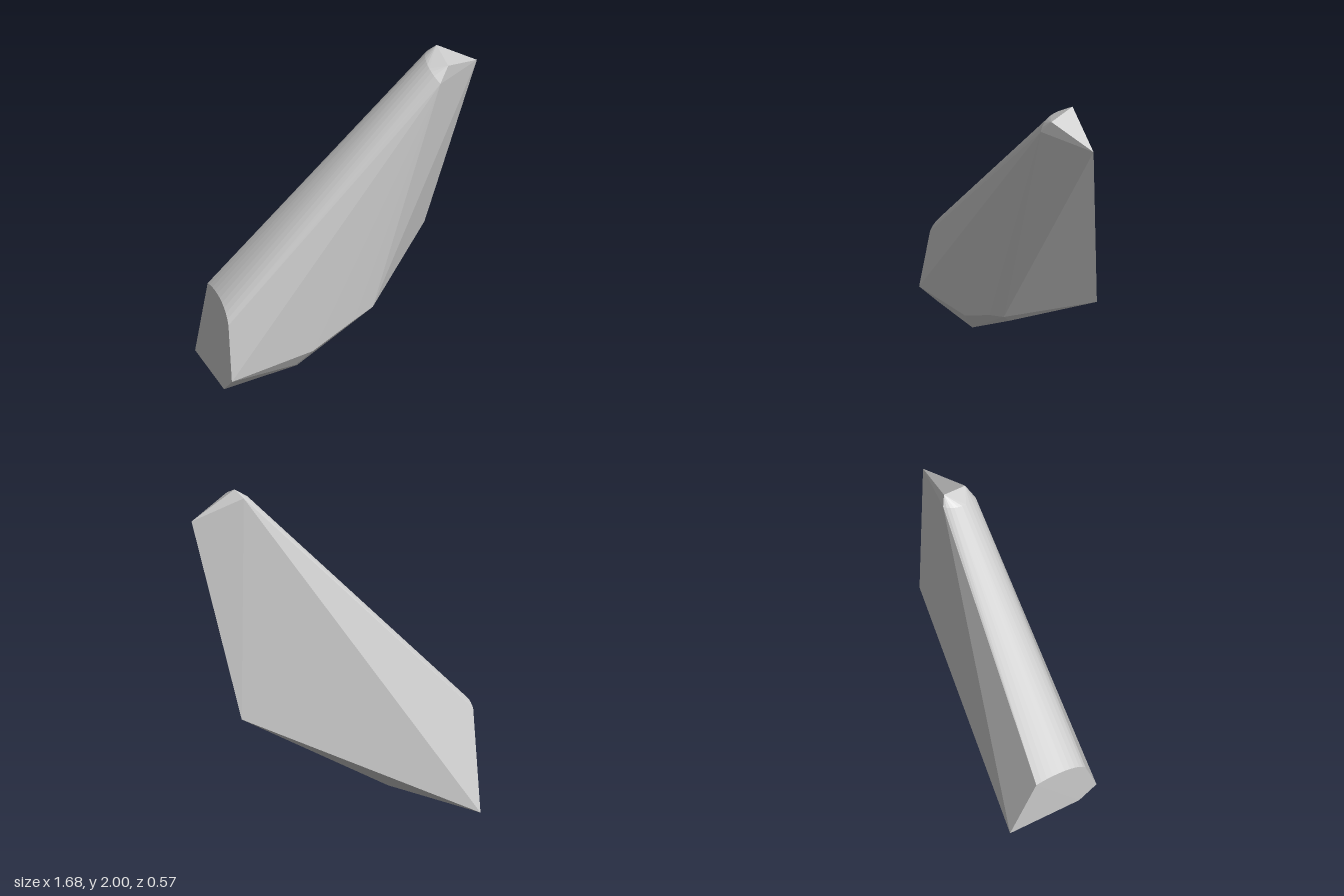
import * as THREE from 'three';
import { ConvexGeometry } from 'three/addons/geometries/ConvexGeometry.js';

const v = (x, y, z) => new THREE.Vector3(x, y, z);
const arc = (a, b, c, d) => new THREE.CubicBezierCurve3(v(...a), v(...b), v(...c), v(...d)).getPoints(10);

export function createModel() {
  const group = new THREE.Group();

  // Rounded ridge, running between an arc at each end
  const lowArc = arc([-0.837, 0.595, -0.11], [-0.835, 0.635, 0], [-0.835, 0.62, 0.17], [-0.836, 0.5, 0.215]);
  const highArc = arc([0.53, 1.95, -0.042], [0.48, 1.95, 0], [0.475, 1.93, 0.13], [0.53, 1.85, 0.172]);

  // Chipped tip
  const tip = [v(0.58, 2, -0.012), v(0.595, 1.94, 0.135), v(0.84, 1.82, -0.02)];

  // Flat back corners
  const back = [v(0.57, 0.63, -0.178), v(-0.845, 0.003, -0.287)];

  // Bevelled lower front edge
  const bevel = [
    v(-0.842, 0.14, 0.284), v(-0.31, 0.2, 0.246), v(-0.04, 0.335, 0.222), v(0.09, 0.38, 0.195),
    v(0.09, 0.345, 0.155), v(-0.4, 0.09, 0.192), v(-0.38, 0.065, 0.165), v(-0.845, 0.015, 0.168),
  ];

  const shard = new THREE.Mesh(
    new ConvexGeometry([...lowArc, ...highArc, ...tip, ...back, ...bevel]),
    new THREE.MeshStandardMaterial({ color: 0xcccccc, flatShading: true })
  );
  shard.name = 'shard';
  group.add(shard);
  return group;
}
